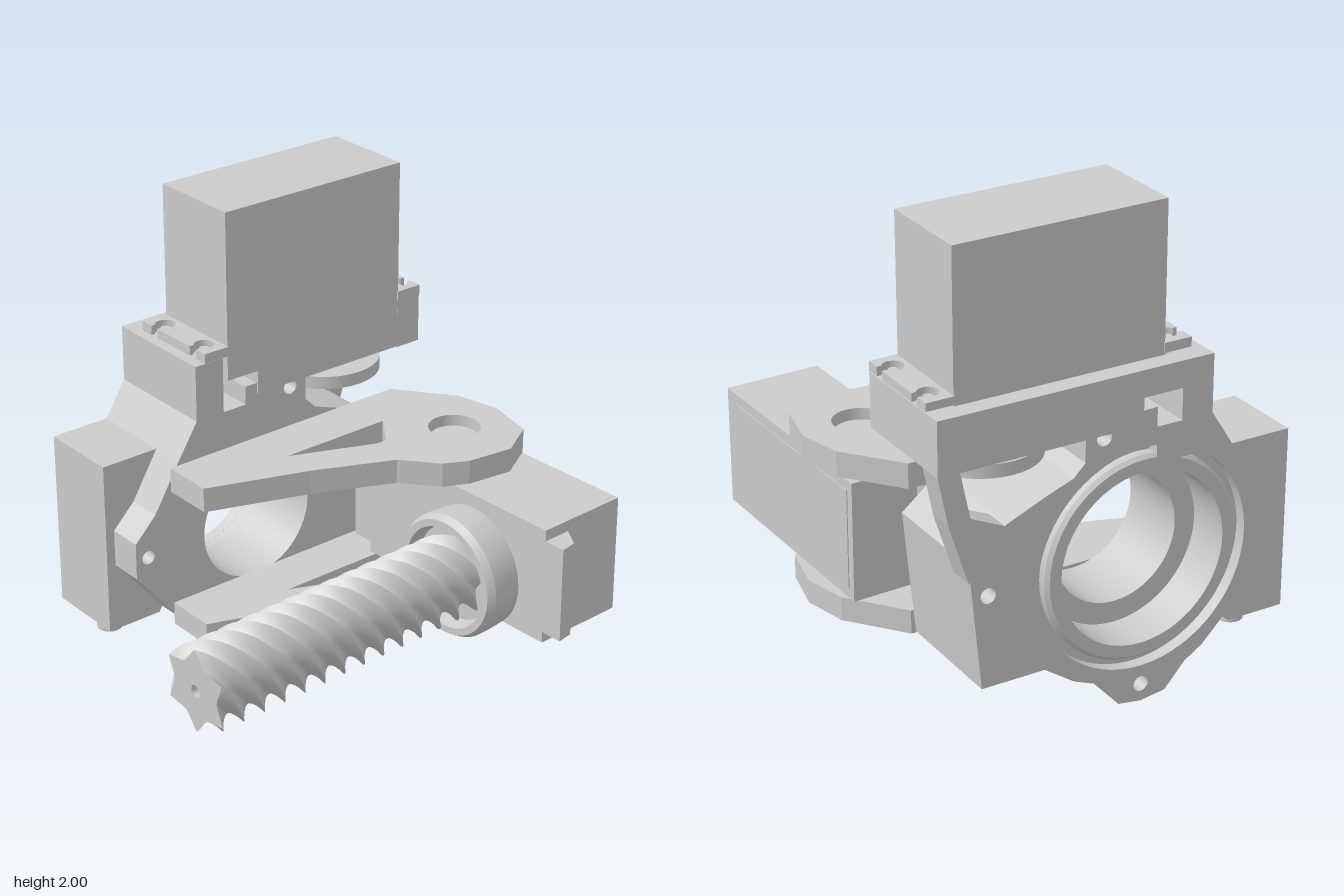
import * as THREE from 'three';
import { toCreasedNormals } from 'three/addons/utils/BufferGeometryUtils.js';

const material = new THREE.MeshStandardMaterial({ color: 0xcccccc, side: THREE.DoubleSide });

function add(parent, name, geometry, x = 0, y = 0, z = 0) {
  const mesh = new THREE.Mesh(geometry, material);
  mesh.name = name;
  mesh.position.set(x, y, z);
  parent.add(mesh);
  return mesh;
}

const box = (w, h, d) => new THREE.BoxGeometry(w, h, d);
const disc = (r0, r1, h) => new THREE.CylinderGeometry(r0, r1, h, 40);

function makeShape(points, circles = []) {
  const shape = new THREE.Shape(points.map(p => new THREE.Vector2(...p)));
  for (const [x, y, r] of circles) shape.holes.push(new THREE.Path().absarc(x, y, r, 0, Math.PI * 2, true));
  return shape;
}

// outline in x,y filled from z0 to z1
function wall(shape, z0, z1) {
  return new THREE.ExtrudeGeometry(shape, { depth: z1 - z0, bevelEnabled: false, curveSegments: 40 }).translate(0, 0, z0);
}

// outline in x,z filled from y0 to y1
function slab(shape, y0, y1) {
  return new THREE.ExtrudeGeometry(shape, { depth: y1 - y0, bevelEnabled: false, curveSegments: 24 })
    .rotateX(Math.PI / 2).translate(0, y1, 0);
}

// ring section turned around an axis: points are [radius, position]
function turned(points) {
  return toCreasedNormals(new THREE.LatheGeometry(points.map(p => new THREE.Vector2(...p)), 48), 0.5);
}

function housing(model) {
  const group = new THREE.Group();
  group.name = 'housing';
  model.add(group);
  const cx = 0.03, cy = 0.62;
  const rim = [
    [-0.25, 0.17], [-0.17, 0.12], [-0.08, 0.02], [0.03, 0.005], [0.13, 0.02], [0.21, 0.13], [0.33, 0.18],
    [0.46, 0.27], [0.73, 0.27], [0.78, 0.79], [0.62, 0.92], [0.45, 0.99], [0.34, 1.03], [0.29, 1.08],
    [0.29, 1.225], [-0.02, 1.23], [-0.02, 1.14], [-0.22, 1.12], [-0.36, 1.0]
  ];
  const frontOutline = [...rim, [-0.48, 0.8], [-0.58, 0.7], [-0.58, 0.54], [-0.48, 0.42], [-0.38, 0.29]];
  const backOutline = [...rim, [-0.62, 1.0], [-0.62, 0.24], [-0.37, 0.24], [-0.35, 0.27]];
  const screws = [[0.21, 1.16, 0.032], [0.03, 0.08, 0.032], [-0.52, 0.62, 0.03]];
  add(group, 'housingFront', wall(makeShape(frontOutline, [[cx, cy, 0.27], ...screws]), -0.54, -0.39));

  // stepped bore that widens toward the back
  for (const [z0, z1, r] of [[-0.7, -0.54, 0.27], [-0.84, -0.7, 0.36], [-0.89, -0.84, 0.46]]) {
    const holes = [[cx, cy, r], screws[0], screws[1]];
    if (z0 < -0.8) holes.push([0.7, 0.65, 0.032]);
    add(group, 'housingLayer', wall(makeShape(backOutline, holes), z0, z1));
  }
  const ring = turned([[0.36, 0], [0.36, 0.05], [0.41, 0.05], [0.425, 0.035], [0.425, 0], [0.36, 0]]);
  add(group, 'bearingRing', ring, cx, cy, -0.84).rotation.x = -Math.PI / 2;
  add(group, 'stopPin', disc(0.053, 0.053, 0.12), -0.5, 0.2, -0.72);

  // bracket holding the upper motor
  add(group, 'bracketLeftColumn', wall(makeShape([
    [-0.36, 1.0], [-0.02, 1.0], [-0.02, 1.15], [-0.13, 1.15], [-0.13, 1.39], [-0.265, 1.39], [-0.265, 1.15]
  ]), -0.89, -0.39));
  add(group, 'bracketRightBlock', wall(makeShape([[0.785, 1.17], [0.9, 1.17], [0.9, 1.39], [0.785, 1.39]]), -0.89, -0.39));
  add(group, 'bracketBackWall', wall(makeShape([
    [0.04, 1.17], [0.9, 1.17], [0.9, 1.39], [-0.13, 1.39], [-0.13, 1.28], [0.04, 1.28]
  ]), -0.89, -0.81));
  add(group, 'bracketStrut', wall(makeShape([
    [0.72, 0.75], [0.78, 0.72], [0.86, 0.97], [0.9, 1.17], [0.81, 1.17], [0.77, 0.98], [0.6, 0.9]
  ]), -0.89, -0.78));
}

function upperMotor(model) {
  const group = new THREE.Group();
  group.name = 'upperMotor';
  group.position.set(0.335, 1.39, -0.59);
  group.rotation.set(-0.012, 0, -0.008);
  model.add(group);
  add(group, 'motorCase', box(0.89, 0.715, 0.41), 0, 0.247, 0);
  add(group, 'motorLowerCase', box(0.74, 0.22, 0.41), 0.075, -0.1, 0);

  // mounting ears with open keyhole slots
  const ear = new THREE.Shape();
  ear.moveTo(0.44, -0.21);
  ear.lineTo(0.56, -0.21);
  for (const z of [-0.13, 0.13]) {
    ear.lineTo(0.56, z - 0.02);
    ear.absarc(0.505, z, 0.042, -0.5, 0.5, true);
    ear.lineTo(0.56, z + 0.02);
  }
  ear.lineTo(0.56, 0.21);
  ear.lineTo(0.44, 0.21);
  for (const turn of [0, Math.PI]) {
    add(group, 'mountingEar', slab(ear, 0, 0.04)).rotation.y = turn;
    for (const z of [-0.13, 0.13]) {
      add(group, 'mountingScrew', disc(0.02, 0.02, 0.03), turn ? -0.505 : 0.505, 0.01, z);
    }
  }

  // output horn below the motor
  add(model, 'hornHub', disc(0.1, 0.1, 0.06), 0.56, 1.155, -0.6);
  add(model, 'hornDisc', disc(0.235, 0.235, 0.055), 0.56, 1.105, -0.6);
  add(model, 'hornScrew', disc(0.055, 0.055, 0.05), 0.56, 1.06, -0.6);
}

function yoke(model) {
  const outline = [
    [-0.4, -0.39], [0.75, -0.39], [0.93, -0.16], [0.975, 0.03], [0.93, 0.24], [0.77, 0.335],
    [0.57, 0.31], [0.47, 0.26], [0.35, 0.12], [0.02, -0.025], [-0.4, -0.17]
  ];
  const shape = makeShape(outline, [[0.725, 0.045, 0.108]]);
  shape.holes.push(new THREE.Path([[0.03, -0.18], [0.38, -0.04], [0.43, -0.04], [0.53, -0.18]].map(p => new THREE.Vector2(...p))));
  for (const [y0, y1, pinY] of [[0.88, 0.985, 0.91], [0.265, 0.365, 0.335]]) {
    add(model, 'yokeArm', slab(shape, y0, y1));
    add(model, 'pivotPin', disc(0.1, 0.1, 0.06), 0.725, pinY, 0.045);
  }
}

function wormGeometry(length, lead, starts) {
  const outline = [];
  const perLobe = 8;
  for (let i = 0; i < starts * perLobe; i++) {
    const r = 0.177 - 0.055 * Math.sin(Math.PI * (i % perLobe) / perLobe);
    const a = i / (starts * perLobe) * Math.PI * 2;
    outline.push([r * Math.cos(a), r * Math.sin(a)]);
  }
  const geometry = new THREE.ExtrudeGeometry(makeShape(outline, [[0, 0, 0.025]]),
    { depth: length, steps: 90, bevelEnabled: false, curveSegments: 8 });
  // twist the section along its axis and lay it along x
  const p = geometry.attributes.position;
  for (let i = 0; i < p.count; i++) {
    const z = p.getZ(i), t = z / lead * Math.PI * 2;
    const x = p.getX(i), y = p.getY(i);
    p.setXYZ(i, z, x * Math.cos(t) - y * Math.sin(t), x * Math.sin(t) + y * Math.cos(t));
  }
  return toCreasedNormals(geometry, 0.5);
}

function swingMotor(model) {
  const group = new THREE.Group();
  group.name = 'swingMotor';
  group.position.set(0.72, 0.628, 0.285);
  group.rotation.set(-0.014, 0.038, 0);
  model.add(group);
  add(group, 'motorCase', box(0.41, 0.505, 1.01));
  add(group, 'sidePanel', box(0.012, 0.42, 0.9), 0.203, 0, -0.02);

  // wedge tabs on both ends
  for (const s of [1, -1]) {
    const tab = makeShape([[-0.205, s * 0.49], [-0.205, s * 0.6], [-0.135, s * 0.59], [-0.07, s * 0.49]]);
    add(group, 'endTab', slab(tab, -0.205, 0.205));
  }

  // collar and worm share one axis along x
  const axisY = -0.012, axisZ = 0.172;
  const collar = turned([
    [0.05, 0.06], [0.2, 0.06], [0.215, 0], [0.245, 0], [0.262, 0.03], [0.262, 0.07],
    [0.255, 0.16], [0.235, 0.175], [0.17, 0.175], [0.15, 0.25], [0, 0.25]
  ]);
  add(group, 'collar', collar, -0.428, axisY, axisZ).rotation.z = -Math.PI / 2;
  add(group, 'wormScrew', wormGeometry(1.34, 0.6, 6), -1.69, axisY, axisZ);
}

export function createModel() {
  const model = new THREE.Group();
  model.name = 'servoWormJoint';
  housing(model);
  upperMotor(model);
  yoke(model);
  swingMotor(model);
  return model;
}
